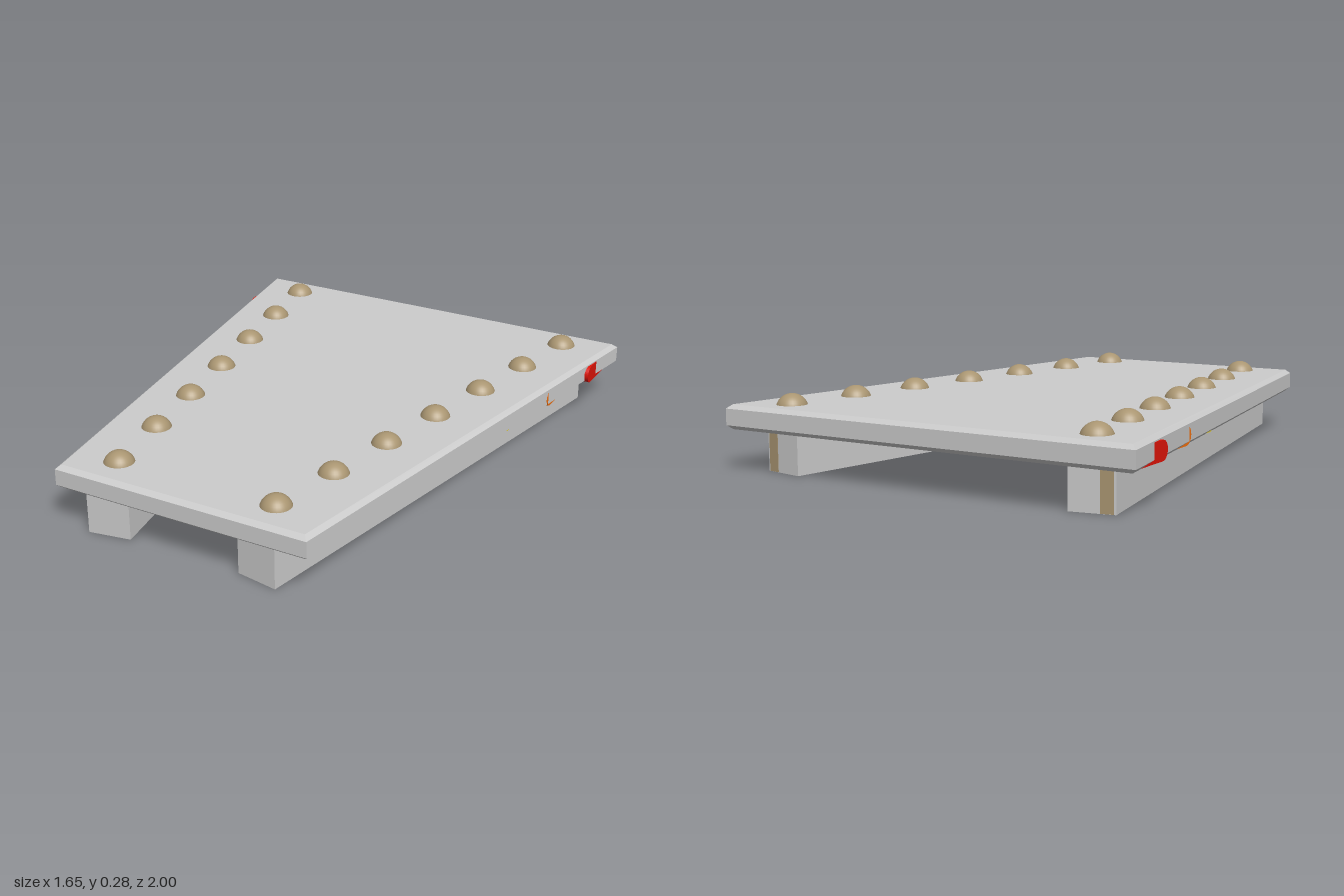
import * as THREE from 'three';

const mat = (color) => new THREE.MeshStandardMaterial({ color, flatShading: true });

function add(parent, name, geometry, material) {
  const mesh = new THREE.Mesh(geometry, material);
  mesh.name = name;
  parent.add(mesh);
  return mesh;
}

export function createModel() {
  const model = new THREE.Group();
  model.name = 'taperedPlatform';
  const grey = mat(0xcccccc);
  const brown = new THREE.MeshStandardMaterial({ color: 0xaa9672 });
  const trim = mat(0xaa9672);

  // Tapered deck with chamfered edges
  const outline = new THREE.Shape([
    new THREE.Vector2(-0.5, -1), new THREE.Vector2(0.5, -1),
    new THREE.Vector2(0.825, 1), new THREE.Vector2(-0.825, 1),
  ]);
  const deckGeo = new THREE.ExtrudeGeometry(outline, {
    depth: 0.06, bevelEnabled: true, bevelSegments: 1,
    bevelSize: 0.018, bevelThickness: 0.015, bevelOffset: -0.018,
  });
  deckGeo.rotateX(-Math.PI / 2);
  add(model, 'deck', deckGeo, grey).position.y = 0.165;

  // Two rails that follow the tapered sides
  const railAngle = Math.atan2(0.33, 1.9);
  const railLength = 1.93, railWidth = 0.16, railHeight = 0.152;
  for (const side of [-1, 1]) {
    const rail = new THREE.Group();
    rail.name = side > 0 ? 'leftRail' : 'rightRail';
    rail.position.set(side * 0.464 - 0.008, railHeight / 2, 0.016);
    rail.rotation.y = -side * railAngle;
    model.add(rail);
    add(rail, 'railBeam', new THREE.BoxGeometry(railWidth, railHeight, railLength), grey);
    // Narrow strip on the back end, near the outer edge
    add(rail, 'railEndStrip', new THREE.BoxGeometry(0.045, railHeight - 0.002, 0.004), trim)
      .position.set(side * 0.05, 0, -railLength / 2);
  }

  // Domed studs, one row along each side
  const studGeo = new THREE.SphereGeometry(0.058, 32, 20);
  for (let i = 0; i < 7; i++) {
    const z = -0.876 + i * 0.29;
    add(model, 'leftStud', studGeo, brown).position.set(0.625 - i * 0.0528, 0.222, z);
    add(model, 'rightStud', studGeo, brown).position.set(-0.622 + i * 0.0494, 0.222, z);
  }

  // Rounded coloured lamps set into the deck sides
  const half = 0.098, r = 0.034;
  const pill = new THREE.Shape();
  pill.absarc(half, 0, r, -Math.PI / 2, Math.PI / 2);
  pill.absarc(-half, 0, r, Math.PI / 2, Math.PI * 1.5);
  const lampGeo = new THREE.ExtrudeGeometry(pill, { depth: 0.04, bevelEnabled: false, curveSegments: 10 });
  lampGeo.translate(0, 0, -0.04).rotateY(Math.PI / 2);
  const colors = [0xe01408, 0xf07010, 0xe8d020, 0x20a030, 0x2050d0, 0x4020a0, 0x8020a0];
  const reach = [0.797, 0.737, 0.683, 0.63, 0.58, 0.53, 0.487];
  colors.forEach((color, i) => {
    const lampMat = mat(color);
    for (const side of [-1, 1]) {
      const lamp = add(model, side > 0 ? 'leftLamp' : 'rightLamp', lampGeo, lampMat);
      lamp.position.set(side * reach[i], 0.186, -0.867 + i * 0.289);
      if (side < 0) lamp.rotation.y = Math.PI;
    }
  });
  return model;
}
